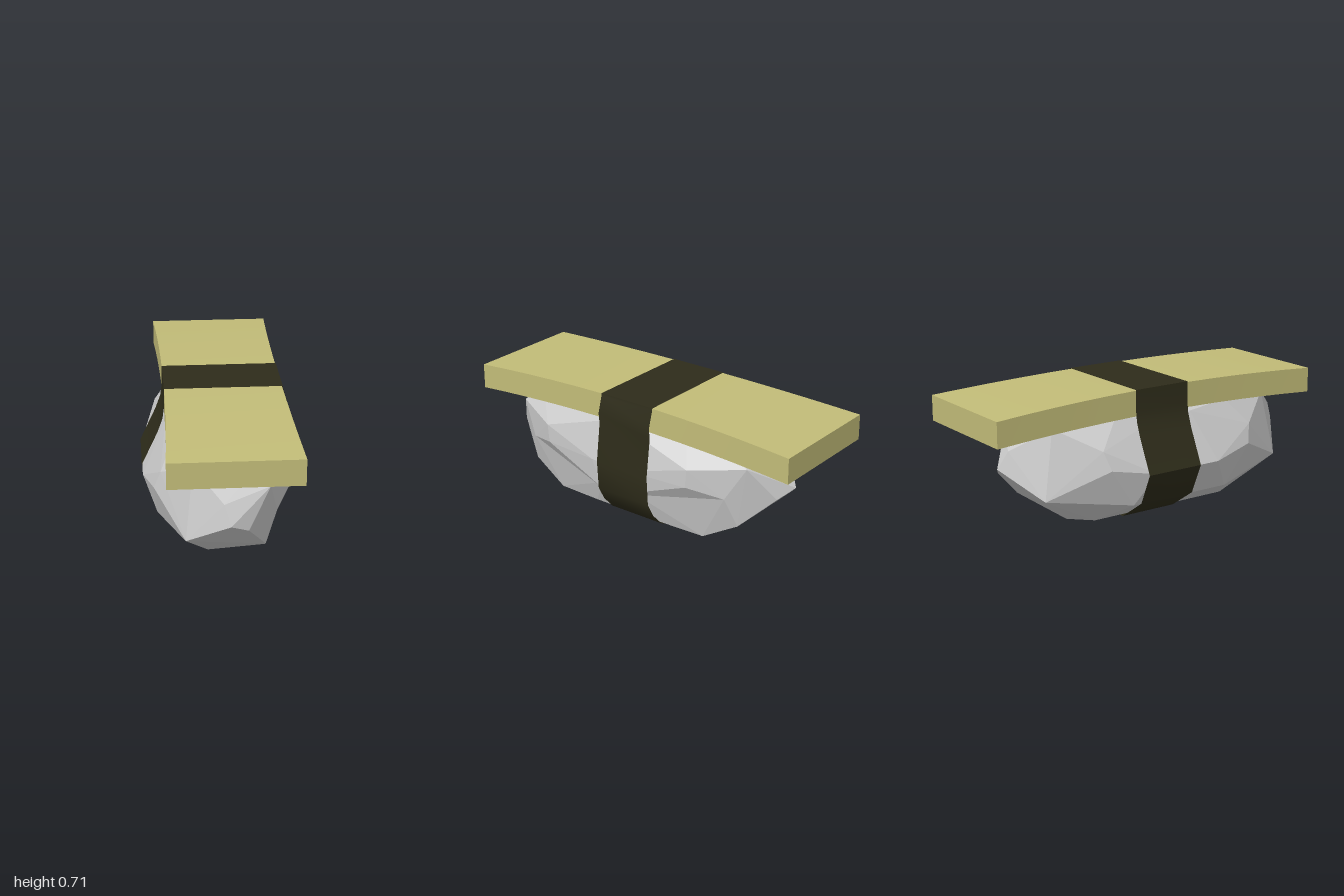
import * as THREE from 'three';
import { toCreasedNormals } from 'three/addons/utils/BufferGeometryUtils.js';
import { ConvexGeometry } from 'three/addons/geometries/ConvexGeometry.js';

const MID_X = 0.033;  // middle of the omelette slab
const RICE_Z = 0.085; // mirror plane of the rice

function addMesh(parent, name, geometry, options) {
  const mesh = new THREE.Mesh(geometry, new THREE.MeshStandardMaterial(options));
  mesh.name = name;
  parent.add(mesh);
}

// Faceted hull of [x, y, z] points, mirrored front to back
function mirroredHull(points) {
  const all = points.flatMap(([x, y, d]) => [
    new THREE.Vector3(x, y, RICE_Z + d),
    new THREE.Vector3(x, y, RICE_Z - d),
  ]);
  return new ConvexGeometry(all);
}

// Slab that droops and widens towards both ends
function slabGeometry() {
  const geometry = new THREE.BoxGeometry(0.614, 0.136, 2, 1, 1, 12);
  const p = geometry.attributes.position;
  for (let i = 0; i < p.count; i++) {
    const t = p.getZ(i) ** 2;
    p.setX(i, MID_X + p.getX(i) * (1 + 0.075 * t));
    p.setY(i, 0.642 + p.getY(i) - 0.031 * t);
  }
  return toCreasedNormals(geometry, 0.5);
}

// Open strip following a closed outline around rice and slab
function bandGeometry(outline) {
  const n = outline.length;
  const geometry = new THREE.CylinderGeometry(1, 1, 1, n, 1, true);
  const p = geometry.attributes.position;
  for (let i = 0; i < p.count; i++) {
    const [x, y] = outline[i % (n + 1) % n];
    p.setXYZ(i, x, y, i <= n ? 0.165 : -0.168);
  }
  return toCreasedNormals(geometry, 0.65);
}

export function createModel() {
  const model = new THREE.Group();
  model.name = 'omeletteSushi';

  // Rice: a lower body, and an upper body that overhangs on one side
  const upper = [
    [0.34, 0.55, 0.1], [0.25, 0.57, 0.4], [0.2, 0.55, 0.62],
    [-0.27, 0.55, 0.1], [-0.24, 0.57, 0.36], [-0.16, 0.55, 0.69],
    [0.215, 0.465, 0.75], [-0.02, 0.43, 0.865], [0.01, 0.335, 0.915],
    [-0.31, 0.43, 0.48], [-0.345, 0.33, 0.45], [-0.395, 0.285, 0.2],
    [0.1, 0.285, 0.86], [0.26, 0.285, 0.645], [-0.2, 0.185, 0.76],
  ];
  const lower = [
    [0.325, 0.185, 0.1], [0.2, 0.12, 0.69], [-0.325, 0.115, 0.3],
    [0.26, 0.025, 0.2], [0.22, 0.005, 0.485], [-0.08, 0.025, 0.56],
    [-0.14, 0.005, 0.42],
  ];
  const overhang = [
    [0.345, 0.43, 0.47], [0.345, 0.33, 0.46], [0.388, 0.34, 0.12], [0.38, 0.185, 0.06],
  ];
  const rice = new THREE.Group();
  rice.name = 'rice';
  model.add(rice);
  const grey = { color: 0xcccccc, flatShading: true };
  addMesh(rice, 'riceLower', mirroredHull([...upper, ...lower]), grey);
  addMesh(rice, 'riceUpper', mirroredHull([...upper, ...overhang]), grey);

  // Omelette slab
  addMesh(model, 'omelette', slabGeometry(), { color: 0xc2bc78 });

  // Seaweed band, counter-clockwise from the bottom
  const outline = [
    [-0.155, 0], [0.215, 0], [0.275, 0.03], [0.34, 0.1], [0.385, 0.18], [0.395, 0.34],
    [0.367, 0.55], [0.373, 0.61], [0.346, 0.7], [0.344, 0.713], [-0.275, 0.713],
    [-0.277, 0.6], [-0.285, 0.545], [-0.312, 0.47], [-0.398, 0.285], [-0.325, 0.115],
    [-0.2, 0.03],
  ];
  addMesh(model, 'seaweedBand', bandGeometry(outline), { color: 0x2e2c1a, side: THREE.DoubleSide });

  return model;
}
